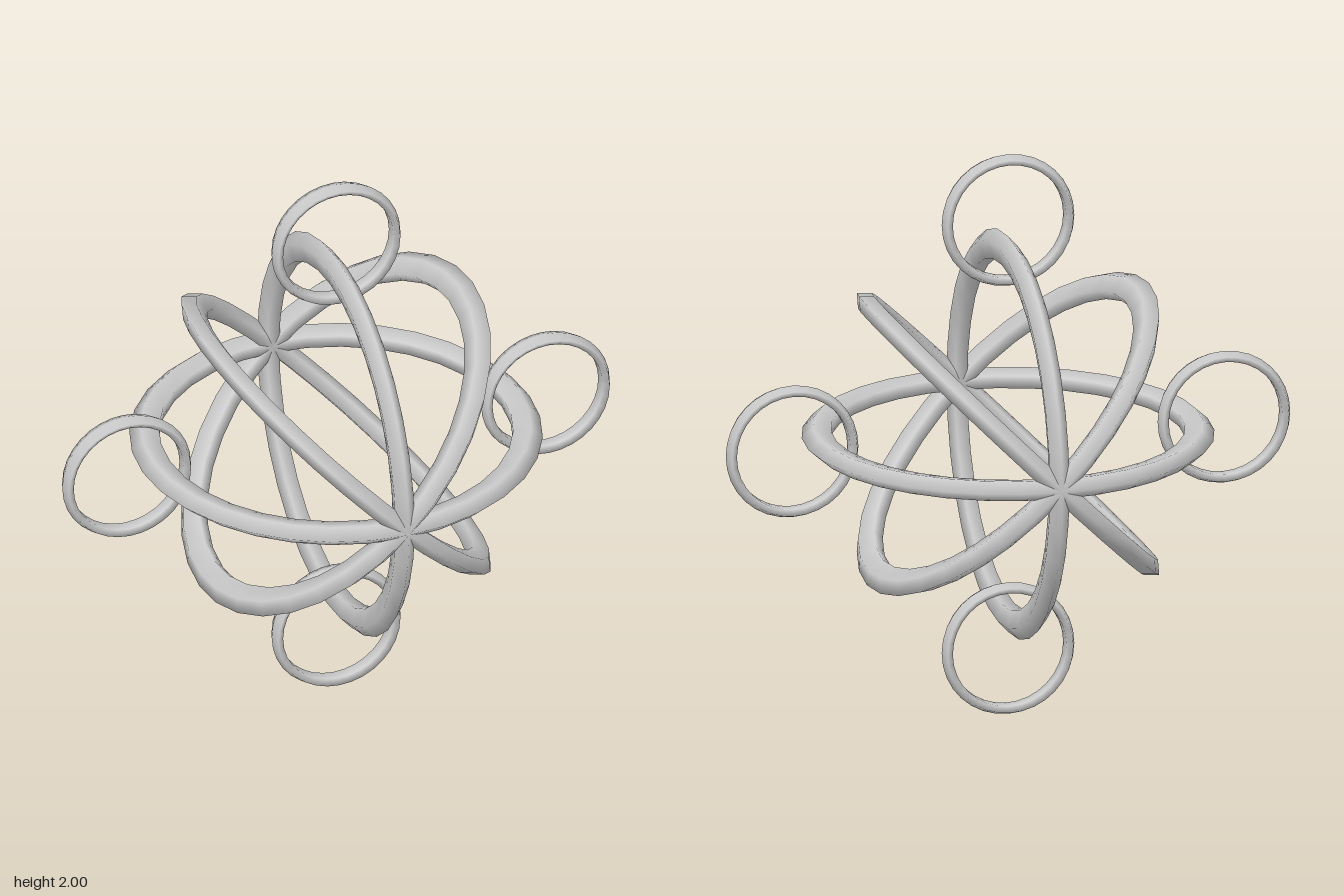
import * as THREE from 'three';

const SIDES = 5;          // pentagonal section, point facing outwards
const SEGMENTS = 32;
const HALF_WIDTH = 0.035; // half width of every band along its axis
const RATIO = 0.086;      // tube radius relative to ring radius

// Ring in the XY plane with the given outer radius, flattened or stretched along its axis
function ringGeometry(outer) {
  const radius = outer / (1 + RATIO);
  const tube = radius * RATIO;
  const geometry = new THREE.TorusGeometry(radius, tube, SIDES, SEGMENTS);
  geometry.scale(1, 1, HALF_WIDTH / (tube * Math.sin((2 * Math.PI) / SIDES)));
  return geometry;
}

export function createModel() {
  const model = new THREE.Group();
  model.name = 'ringSphere';
  const material = new THREE.MeshStandardMaterial({ color: 0xcccccc });

  // Four great rings crossing at the front and back poles
  const cage = new THREE.Group();
  cage.name = 'cage';
  const largeRing = ringGeometry(0.707).rotateX(Math.PI / 2);
  for (let i = 0; i < 4; i++) {
    const ring = new THREE.Mesh(largeRing, material);
    ring.name = `largeRing${i + 1}`;
    ring.rotation.z = (i * Math.PI) / 4;
    cage.add(ring);
  }

  // Four small rings linked through the cage at the top, bottom and sides
  const links = new THREE.Group();
  links.name = 'linkRings';
  const smallRing = ringGeometry(0.235);
  for (let i = 0; i < 4; i++) {
    const angle = (i * Math.PI) / 2;
    const ring = new THREE.Mesh(smallRing, material);
    ring.name = `linkRing${i + 1}`;
    ring.position.set(0.765 * Math.cos(angle), 0.765 * Math.sin(angle), 0);
    ring.rotation.z = angle;
    links.add(ring);
  }

  cage.position.y = links.position.y = 1;
  model.add(cage, links);
  return model;
}
